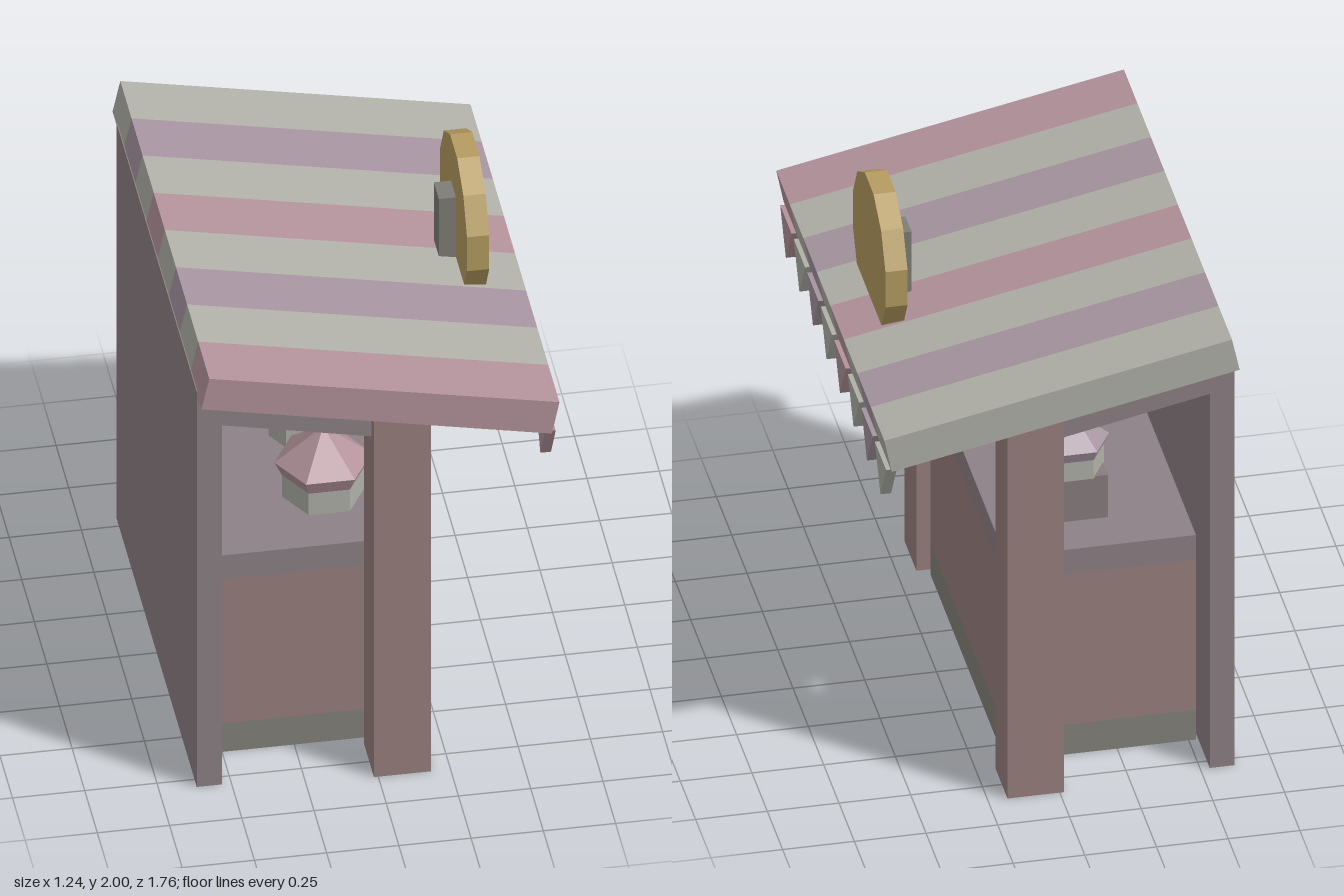
import * as THREE from 'three';

const COLORS = {
  red: 0xb2929a, purple: 0xa5949f, pale: 0xb0b0a8, wood: 0x997f7d, wall: 0x8d8186,
  base: 0x84827a, gold: 0xb59c60, bracket: 0x7f7d76, pedestal: 0x887c7f,
};
const materials = {};
for (const key in COLORS) {
  materials[key] = new THREE.MeshStandardMaterial({ color: COLORS[key], flatShading: true });
}

export function createModel() {
  const model = new THREE.Group();

  const add = (name, geometry, color, parent = model) => {
    const mesh = new THREE.Mesh(geometry, materials[color]);
    mesh.name = name;
    parent.add(mesh);
    return mesh;
  };

  // Box given by its limits on each axis
  const box = (name, color, [x0, x1], [y0, y1], [z0, z1], parent) =>
    add(name, new THREE.BoxGeometry(x1 - x0, y1 - y0, z1 - z0)
      .translate((x0 + x1) / 2, (y0 + y1) / 2, (z0 + z1) / 2), color, parent);

  // Side profile in x and y, extruded from z0 to z1
  const prism = (name, color, points, z0, z1, parent) => {
    const shape = new THREE.Shape(points.map(([x, y]) => new THREE.Vector2(x, y)));
    const geometry = new THREE.ExtrudeGeometry(shape, { depth: z1 - z0, bevelEnabled: false });
    return add(name, geometry.translate(0, 0, z0), color, parent);
  };

  // Six-sided section with corners pointing along x
  const hex = (name, color, rBottom, rTop, y0, y1, parent) =>
    add(name, new THREE.CylinderGeometry(rTop, rBottom, y1 - y0, 6, 1, false, Math.PI / 6)
      .translate(0, (y0 + y1) / 2, 0), color, parent);

  // Back wall with a sloping top
  prism('backWall', 'wall', [[-0.62, 0], [-0.533, 0], [-0.533, 1.64], [-0.62, 1.66]], -0.795, 0.795);

  // Posts and sloping side beams, mirrored in z
  for (const side of [-1, 1]) {
    const span = (a, b) => (side > 0 ? [a, b] : [-b, -a]);
    prism('frontPost', 'wood', [[-0.015, 0], [0.182, 0], [0.182, 1.5], [-0.015, 1.54]], ...span(0.645, 0.842));
    prism('sideBeam', 'wall', [[-0.54, 1.51], [0, 1.395], [0, 1.515], [-0.54, 1.62]], ...span(0.7, 0.795));
  }

  // Counter: plinth, panel and worktop
  const counter = new THREE.Group();
  counter.name = 'counter';
  model.add(counter);
  [['plinth', 'base', 0, 0.12], ['panel', 'wood', 0.12, 0.725], ['worktop', 'wall', 0.725, 0.825]]
    .forEach(([name, color, y0, y1]) => box(name, color, [-0.525, 0.14], [y0, y1], [-0.608, 0.608], counter));

  // Striped roof with a pennant hanging below each stripe
  const stripes = ['red', 'pale', 'purple', 'pale'];
  const roof = new THREE.Group();
  roof.name = 'roof';
  model.add(roof);
  const slab = [[-0.619, 1.648], [0.594, 1.396], [0.62, 1.525], [-0.592, 1.773]];
  for (let i = 0; i < 8; i++) {
    const z = 0.7718 - i * 0.2205;
    const color = stripes[i % 4];
    prism('roofStripe', color, slab, z - 0.11025, z + 0.11025, roof);
    const triangle = new THREE.Shape([
      new THREE.Vector2(-0.093, 1.395), new THREE.Vector2(0, 1.24), new THREE.Vector2(0.093, 1.395)]);
    const pennant = new THREE.ExtrudeGeometry(triangle, { depth: 0.037, bevelEnabled: false });
    add('pennant', pennant.rotateY(Math.PI / 2).translate(0.573, 0, z), color, roof);
  }

  // Round sign sunk into the roof, with its bracket behind
  add('roundSign', new THREE.CylinderGeometry(0.275, 0.275, 0.077, 12, 1, false, Math.PI / 12)
    .rotateZ(Math.PI / 2).translate(0.446, 1.735, 0), 'gold');
  box('signBracket', 'bracket', [0.348, 0.41], [1.5, 1.82], [-0.052, 0.048]);

  // Jars with flared, pointed lids
  const jar = (x, z, radius, lidRadius, [y0, y1, y2, y3], lidColor) => {
    const group = new THREE.Group();
    group.name = 'lidded jar';
    group.position.set(x, 0, z);
    hex('jarBody', 'pale', radius, radius, y0, y1, group);
    hex('lidRim', lidColor, radius, lidRadius, y1, y2, group);
    hex('lidTop', lidColor, lidRadius, 0, y2, y3, group);
    model.add(group);
  };
  jar(-0.097, 0.303, 0.143, 0.169, [0.825, 0.915, 0.97, 1.102], 'red');
  jar(-0.148, -0.341, 0.113, 0.131, [0.99, 1.065, 1.105, 1.212], 'purple');
  box('jarPedestal', 'pedestal', [-0.255, -0.045], [0.825, 0.995], [-0.433, -0.248]);

  // Plain canister
  const canister = new THREE.Group();
  canister.name = 'canister';
  canister.position.set(-0.13, 0, -0.054);
  hex('canisterBody', 'pale', 0.093, 0.093, 0.825, 1.02, canister);
  hex('canisterLid', 'purple', 0.093, 0.093, 1.02, 1.07, canister);
  model.add(canister);

  return model;
}
